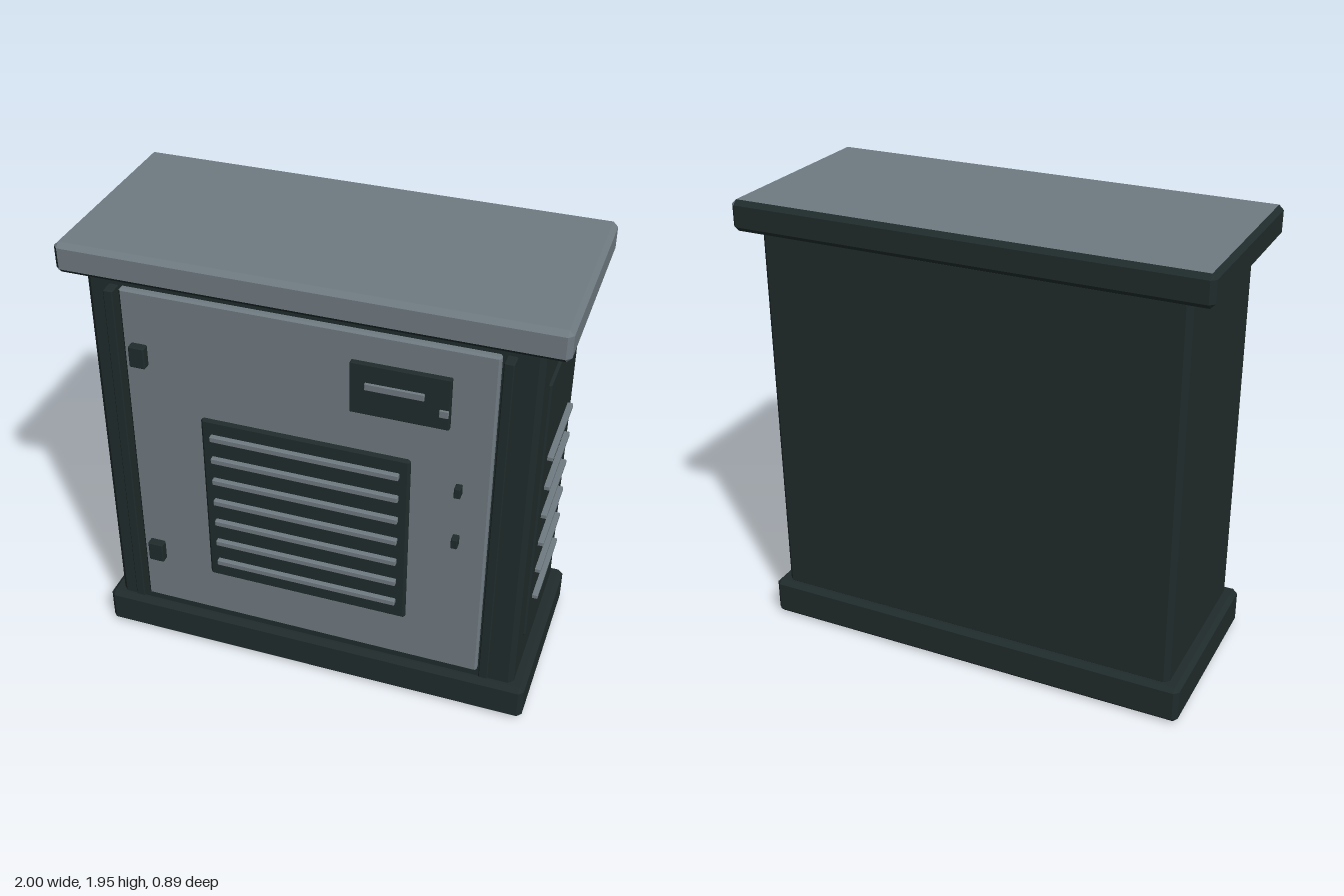
import * as THREE from 'three';
import { ConvexGeometry } from 'three/addons/geometries/ConvexGeometry.js';

const darkMetal = new THREE.MeshStandardMaterial({ color: 0x202b2b });
darkMetal.name = 'darkGreenMetal';
const greyMetal = new THREE.MeshStandardMaterial({ color: 0x6f7a81 });
greyMetal.name = 'greyMetal';

// Box with 45 degree chamfers on every edge, given by its min and max corners
function chamferBox(min, max, c) {
  const half = min.map((v, i) => (max[i] - v) / 2);
  const points = [];
  for (const sx of [-1, 1]) for (const sy of [-1, 1]) for (const sz of [-1, 1]) {
    for (let axis = 0; axis < 3; axis++) {
      const p = [sx, sy, sz].map((s, i) => s * (half[i] - (i === axis ? 0 : c)));
      points.push(new THREE.Vector3(...p));
    }
  }
  const geometry = new ConvexGeometry(points);
  geometry.translate(...min.map((v, i) => (v + max[i]) / 2));
  return geometry;
}

// Grey on the top, front and left-hand (+x) faces, dark on the others
function twoTone(geometry) {
  const n = geometry.attributes.normal;
  geometry.clearGroups();
  for (let i = 0; i < n.count; i += 3) {
    const grey = n.getX(i) + n.getY(i) + n.getZ(i) > 0.3;
    geometry.addGroup(i, 3, grey ? 1 : 0);
  }
  return geometry;
}

export function createModel() {
  const model = new THREE.Group();
  model.name = 'utilityCabinet';

  const add = (name, min, max, chamfer, material = darkMetal) => {
    const geometry = chamferBox(min, max, chamfer);
    if (Array.isArray(material)) twoTone(geometry);
    const mesh = new THREE.Mesh(geometry, material);
    mesh.name = name;
    model.add(mesh);
    return mesh;
  };
  const painted = [darkMetal, greyMetal];

  // Main shell
  add('base', [-0.957, 0, -0.415], [0.957, 0.17, 0.415], 0.02);
  add('body', [-0.905, 0.15, -0.385], [0.905, 1.825, 0.385], 0.022);
  add('roof', [-1, 1.82, -0.445], [1, 1.95, 0.445], 0.02, painted);

  // Door between two upright rails
  const front = 0.412;
  add('door', [-0.755, 0.22, 0.37], [0.75, 1.78, front], 0.008, painted);
  for (const side of [-1, 1]) {
    const x = side * 0.785;
    add('doorRail', [x - 0.02, 0.22, 0.37], [x + 0.02, 1.78, 0.44], 0.004);
  }

  // Hinges
  for (const y of [0.5, 1.498]) {
    add('hinge', [-0.72, y - 0.048, 0.4], [-0.652, y + 0.048, 0.446], 0.005);
  }

  // Front grille with seven louvres
  add('frontGrille', [-0.438, 0.437, 0.4], [0.434, 1.253, 0.427], 0.01);
  for (let i = 0; i < 7; i++) {
    const y = 0.527 + i * 0.108;
    add('frontLouvre', [-0.395, y - 0.013, 0.42], [0.393, y + 0.013, 0.447], 0.003, greyMetal);
  }

  // Control panel with a slot and a button
  add('controlPanel', [0.19, 1.437, 0.4], [0.58, 1.66, 0.434], 0.003);
  add('panelSlot', [0.25, 1.553, 0.43], [0.482, 1.582, 0.444], 0.002, greyMetal);
  add('panelButton', [0.54, 1.494, 0.43], [0.576, 1.526, 0.442], 0.002, greyMetal);

  // Door latches
  for (const y of [0.912, 1.162]) {
    add('latch', [0.615, y - 0.023, 0.4], [0.641, y + 0.023, 0.448], 0.003);
  }

  // Side vent panel with six louvres
  add('sidePanel', [0.89, 0.343, -0.264], [0.917, 1.61, 0.264], 0.008);
  for (let i = 0; i < 6; i++) {
    const y = 0.51 + i * 0.143;
    add('sideLouvre', [0.91, y - 0.011, -0.195], [0.94, y + 0.011, 0.197], 0.003, greyMetal);
  }

  return model;
}
